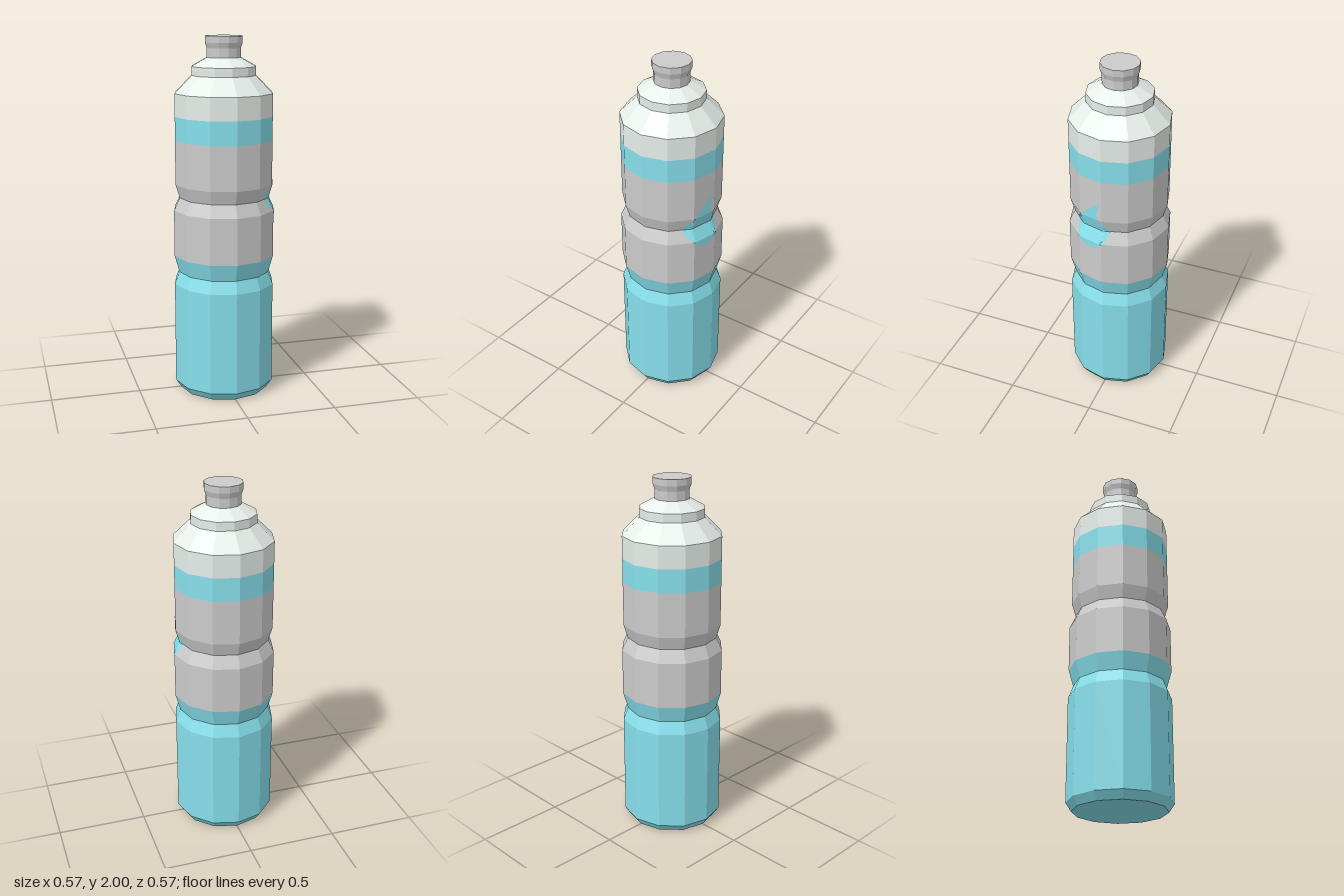
import * as THREE from 'three';

const SIDES = 12;
const TEAL = 0x87e0ec, GREY = 0xcccccc, PALE = 0xe6eeea;

// body profile points shared by the shell and the drop emblem: [radius, height]
const WAIST = [[0.285, 0.79], [0.285, 1.05], [0.252, 1.12], [0.275, 1.195], [0.275, 1.44]];

function material(color, side = THREE.FrontSide) {
  return new THREE.MeshStandardMaterial({ color, flatShading: true, side });
}

function ring(name, color, profile) {
  const points = profile.map(([r, y]) => new THREE.Vector2(r, y));
  const mesh = new THREE.Mesh(new THREE.LatheGeometry(points, SIDES), material(color));
  mesh.name = name;
  return mesh;
}

// linear lookup in [value, key] pairs sorted by rising key
function lookup(pairs, key) {
  let i = 1;
  while (i < pairs.length - 1 && key > pairs[i][1]) i++;
  const [a, ka] = pairs[i - 1], [b, kb] = pairs[i];
  return THREE.MathUtils.lerp(a, b, (key - ka) / (kb - ka));
}

// x of the twelve-sided wall on its left side at height y and depth z
function wallX(y, z) {
  const r = lookup(WAIST, y), d = Math.abs(z);
  return Math.min(r - d * Math.tan(Math.PI / 12), r * Math.SQRT2 * Math.cos(Math.PI / 12) - d);
}

// drop emblem: rows of points laid onto the faceted wall
function dropEmblem() {
  const front = [[0.07, 1.005], [0.115, 1.015], [0.148, 1.05], [0.165, 1.10], [0.162, 1.15], [0.13, 1.20], [0.08, 1.245], [0.005, 1.31]];
  const back = [[0.065, 1.005], [0.02, 1.025], [-0.02, 1.07], [-0.04, 1.12], [-0.01, 1.165], [0.025, 1.195], [0.033, 1.23], [0.005, 1.31]];
  const rows = [1.005, 1.015, 1.03, 1.05, 1.07, 1.1, 1.12, 1.15, 1.165, 1.18, 1.195, 1.21, 1.23, 1.245, 1.28, 1.31];
  const cols = 20, positions = [], index = [];
  rows.forEach((y, j) => {
    const z0 = lookup(front, y), z1 = lookup(back, y);
    for (let i = 0; i <= cols; i++) {
      const z = THREE.MathUtils.lerp(z0, z1, i / cols);
      positions.push(wallX(y, z) + 0.003, y, z);
      if (j > 0 && i > 0) {
        const c = j * (cols + 1) + i, b = c - cols - 1;
        index.push(b - 1, b, c, b - 1, c, c - 1);
      }
    }
  });
  const geometry = new THREE.BufferGeometry();
  geometry.setAttribute('position', new THREE.Float32BufferAttribute(positions, 3));
  geometry.setIndex(index);
  geometry.computeVertexNormals();
  const mesh = new THREE.Mesh(geometry, material(TEAL, THREE.DoubleSide));
  mesh.name = 'dropEmblem';
  return mesh;
}

export function createModel() {
  const bottle = new THREE.Group();
  bottle.name = 'bottle';
  bottle.add(
    // closed base with bevelled foot and lower grip groove
    ring('base', TEAL, [[0, 0], [0.255, 0], [0.285, 0.045], [0.285, 0.625], [0.258, 0.695], [0.285, 0.79]]),
    // middle body with upper grip groove
    ring('body', GREY, WAIST),
    ring('band', TEAL, [[0.275, 1.44], [0.275, 1.57]]),
    // screw cap: wall, shoulder, collar and cone
    ring('cap', PALE, [[0.275, 1.57], [0.275, 1.695], [0.18, 1.79], [0.18, 1.838], [0.095, 1.885]]),
    // pull-up drinking spout
    ring('spout', GREY, [[0.095, 1.885], [0.095, 1.935], [0.105, 1.965], [0.105, 2], [0, 2]]),
    dropEmblem()
  );
  return bottle;
}
